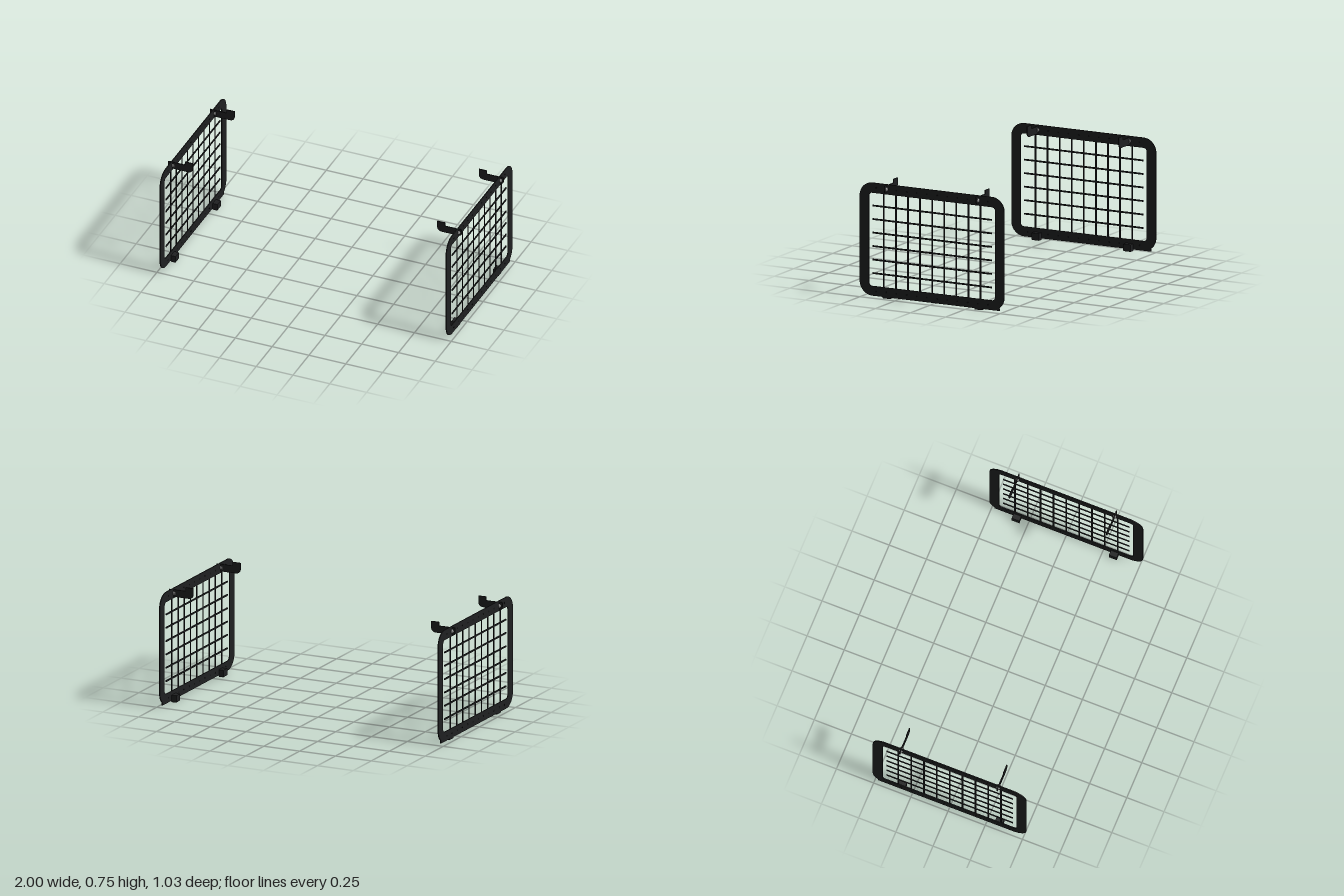
import * as THREE from 'three';

const PANEL_X = 0.972;   // side distance of each guard panel
const THICK = 0.006;
const HOOK_Z = [0.327, -0.327];

const black = new THREE.MeshStandardMaterial({ color: 0x1f2021 });
const dark = new THREE.MeshStandardMaterial({ color: 0x0c0c0d });
const steel = new THREE.MeshStandardMaterial({ color: 0x8c8c8c });

// Rounded rectangle outline centred on (0, cy)
function roundedRect(path, halfW, bottom, top, r) {
  path.moveTo(-halfW + r, bottom);
  path.lineTo(halfW - r, bottom);
  path.absarc(halfW - r, bottom + r, r, -Math.PI / 2, 0);
  path.lineTo(halfW, top - r);
  path.absarc(halfW - r, top - r, r, 0, Math.PI / 2);
  path.lineTo(-halfW + r, top);
  path.absarc(-halfW + r, top - r, r, Math.PI / 2, Math.PI);
  path.lineTo(-halfW, bottom + r);
  path.absarc(-halfW + r, bottom + r, r, Math.PI, Math.PI * 1.5);
  return path;
}

function add(parent, name, geometry, material, x = 0, y = 0, z = 0) {
  const mesh = new THREE.Mesh(geometry, material);
  mesh.name = name;
  mesh.position.set(x, y, z);
  parent.add(mesh);
  return mesh;
}

// Panel frame, extruded across x
function frameGeometry() {
  const shape = roundedRect(new THREE.Shape(), 0.516, 0.01, 0.732, 0.09);
  shape.holes.push(roundedRect(new THREE.Path(), 0.45, 0.072, 0.667, 0.022));
  return new THREE.ExtrudeGeometry(shape, { depth: THICK, bevelEnabled: false, curveSegments: 10 })
    .translate(0, 0, -THICK / 2).rotateY(Math.PI / 2);
}

// Flat hook profile in the x-y plane, reaching inward with an upturned tip
function hookGeometry() {
  const s = new THREE.Shape();
  s.moveTo(0.998, 0.724);
  s.lineTo(0.998, 0.698);
  s.quadraticCurveTo(0.997, 0.678, 0.976, 0.677);
  s.lineTo(0.862, 0.677);
  s.quadraticCurveTo(0.832, 0.678, 0.83, 0.708);
  s.lineTo(0.83, 0.748);
  s.lineTo(0.884, 0.748);
  s.lineTo(0.884, 0.724);
  s.closePath();
  return new THREE.ExtrudeGeometry(s, { depth: THICK, bevelEnabled: false, curveSegments: 8 })
    .translate(0, 0, -THICK / 2);
}

// One guard panel; side is +1 (left) or -1 (right)
function buildPanel(side) {
  const panel = new THREE.Group();
  panel.name = side > 0 ? 'leftGuard' : 'rightGuard';

  add(panel, 'frame', frameGeometry(), black, side * PANEL_X);

  // Bottom edge strip, running square past the rear corner
  add(panel, 'bottomStrip', new THREE.BoxGeometry(THICK, 0.016, 0.905), black, side * PANEL_X, 0.018, -0.029);

  // Wire grid
  for (let i = -4; i <= 4; i++)
    add(panel, 'verticalBar', new THREE.BoxGeometry(THICK * 0.8, 0.6, 0.01), black, side * PANEL_X, 0.3695, i * 0.0863);
  for (let i = 0; i < 6; i++)
    add(panel, 'horizontalBar', new THREE.BoxGeometry(THICK, 0.01, 0.85), black, side * PANEL_X, 0.154 + i * 0.0863, 0);

  // Rivets along the top and bottom rails
  const rivet = new THREE.CylinderGeometry(0.006, 0.006, THICK + 0.001, 12).rotateZ(Math.PI / 2);
  for (const y of [0.04, 0.7])
    for (let i = 0; i < 12; i++)
      add(panel, 'rivet', rivet, dark, side * PANEL_X, y, (i - 5.5) * 0.0725);

  const dome = new THREE.SphereGeometry(0.014, 20, 8, 0, Math.PI * 2, 0, Math.PI / 2).rotateZ(-side * Math.PI / 2);
  const nut = new THREE.CylinderGeometry(0.012, 0.012, 0.014, 6).rotateZ(Math.PI / 2);
  for (const z of HOOK_Z) {
    // Upper hook
    const hook = add(panel, 'hook', hookGeometry(), black, 0, 0, z);
    if (side < 0) hook.rotation.y = Math.PI;

    // Bolt head outside, nut inside
    add(panel, 'boltHead', dome, steel, side * (PANEL_X + THICK / 2), 0.7, z);
    add(panel, 'nut', nut, steel, side * (PANEL_X - 0.01), 0.7, z);

    // Lower support block
    add(panel, 'lowerBracket', new THREE.BoxGeometry(0.037, 0.042, 0.052), black, side * 0.9545, 0.025, z);
    add(panel, 'bracketFoot', new THREE.BoxGeometry(0.03, 0.006, 0.05), black, side * 0.9545, 0.003, z);
  }
  return panel;
}

export function createModel() {
  const model = new THREE.Group();
  model.name = 'windowGuards';
  for (const side of [1, -1]) model.add(buildPanel(side));
  return model;
}
